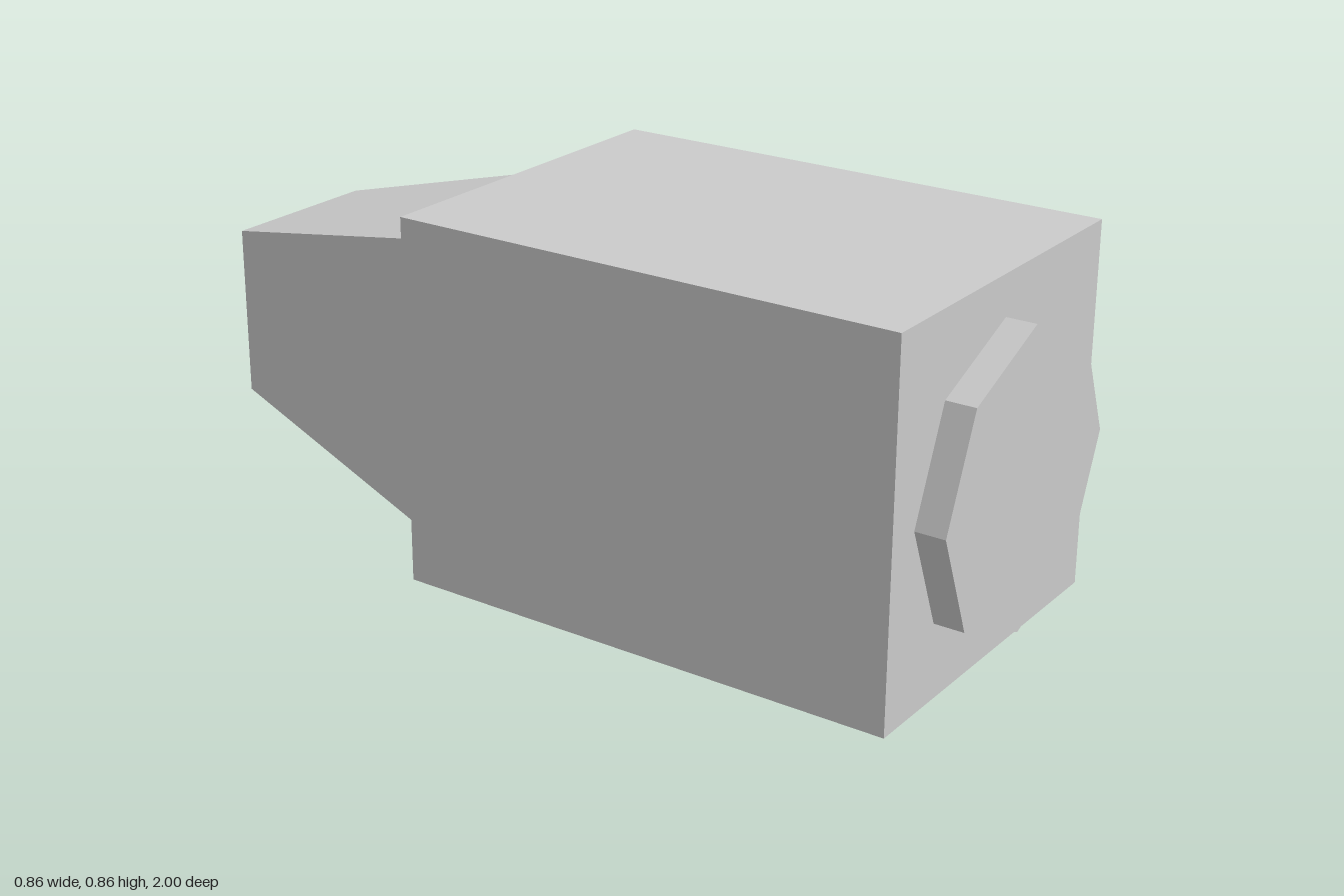
import * as THREE from 'three';

export function createModel() {
  const group = new THREE.Group();
  const material = new THREE.MeshStandardMaterial({ color: 0xcccccc, flatShading: true });

  const addPart = (name, geometry, y, z) => {
    const mesh = new THREE.Mesh(geometry, material);
    mesh.name = name;
    mesh.position.set(0, y, z);
    group.add(mesh);
  };

  // Prism along z between two planes, tapering from front to back radius
  const addPrism = (name, sides, frontRadius, backRadius, zFront, zBack, y, turn = 0) => {
    const geometry = new THREE.CylinderGeometry(backRadius, frontRadius, zFront - zBack, sides)
      .rotateY(turn)
      .rotateX(-Math.PI / 2);
    addPart(name, geometry, y, (zFront + zBack) / 2);
  };

  // Main block
  const bodyFront = 0.93, bodyBack = -0.295;
  addPart('body', new THREE.BoxGeometry(0.86, 0.86, bodyFront - bodyBack), 0.43, (bodyFront + bodyBack) / 2);

  // Octagonal plate on the front face
  addPrism('frontPlate', 8, 0.344, 0.344, 1, bodyFront, 0.421);

  // Square tapered tail; radii reach the corners
  addPrism('taperedTail', 4, 0.357 * Math.SQRT2, 0.204 * Math.SQRT2, bodyBack, -1, 0.433, Math.PI / 4);

  return group;
}
